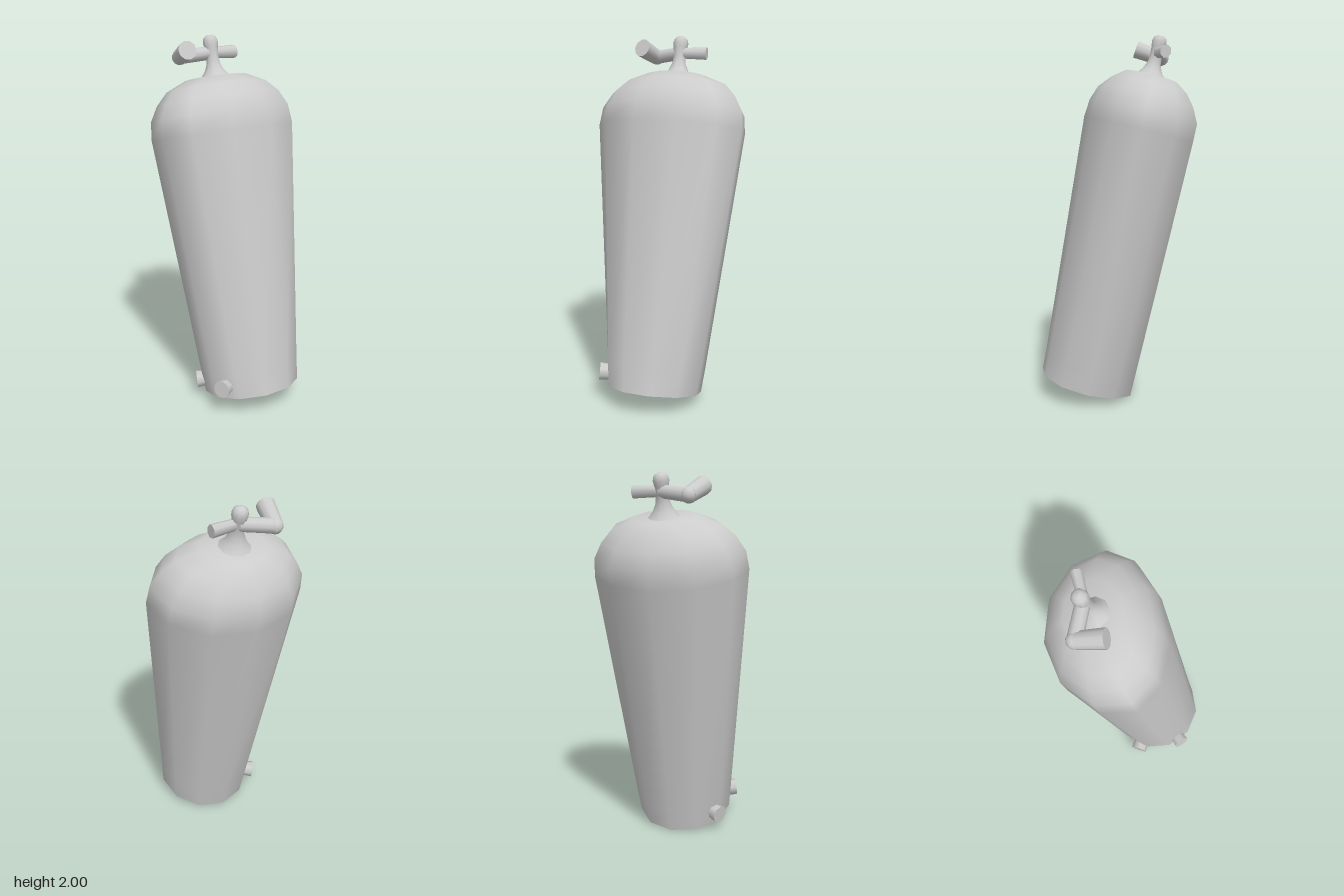
import * as THREE from 'three';

const SIDES = 11;
const material = new THREE.MeshStandardMaterial({ color: 0xcccccc });

function add(parent, name, geometry) {
  const mesh = new THREE.Mesh(geometry, material);
  mesh.name = name;
  parent.add(mesh);
  return mesh;
}

// Round rod between two points, r0 at the start and r1 at the end
function rod(parent, name, from, to, r0, r1, sides = 10) {
  const a = new THREE.Vector3(...from), b = new THREE.Vector3(...to);
  const dir = b.clone().sub(a);
  const mesh = add(parent, name, new THREE.CylinderGeometry(r1, r0, dir.length(), sides));
  mesh.position.copy(a).add(b).multiplyScalar(0.5);
  mesh.quaternion.setFromUnitVectors(new THREE.Vector3(0, 1, 0), dir.normalize());
  return mesh;
}

// Tank skin: rings of [height, centre z, front radius, back radius, side radius]
function tankGeometry() {
  const rings = [
    [0, 0.005, 0.268, 0.268, 0.265],
    [0.12, 0.01, 0.269, 0.27, 0.28],
    [1.45, 0.117, 0.262, 0.352, 0.425],
    [1.55, 0.117, 0.255, 0.35, 0.412],
    [1.63, 0.11, 0.235, 0.3, 0.365],
    [1.695, 0.1, 0.19, 0.235, 0.3],
    [1.745, 0.085, 0.145, 0.155, 0.175],
  ];
  const pos = [], index = [];
  const pushRing = ([h, c, front, back, side]) => {
    for (let j = 0; j < SIDES; j++) {
      const a = ((j + 0.5) / SIDES) * Math.PI * 2;
      const k = Math.cos(a);
      pos.push(side * Math.sin(a), h, c + k * (k > 0 ? front : back));
    }
  };
  rings.forEach(pushRing);
  for (let i = 0; i < rings.length - 1; i++) {
    for (let j = 0; j < SIDES; j++) {
      const a = i * SIDES + j, b = i * SIDES + (j + 1) % SIDES;
      index.push(a, b, b + SIDES, a, b + SIDES, a + SIDES);
    }
  }
  // Top closes on the last ring, the base has its own ring for a sharp rim
  const last = (rings.length - 1) * SIDES;
  const top = pos.length / 3;
  pos.push(0, 1.75, 0.085);
  const base = top + 1;
  pushRing(rings[0]);
  const bottom = pos.length / 3;
  pos.push(0, 0, 0.005);
  for (let j = 0; j < SIDES; j++) {
    const n = (j + 1) % SIDES;
    index.push(top, last + j, last + n, bottom, base + n, base + j);
  }
  const g = new THREE.BufferGeometry();
  g.setAttribute('position', new THREE.Float32BufferAttribute(pos, 3));
  g.setIndex(index);
  g.computeVertexNormals();
  return g;
}

export function createModel() {
  const model = new THREE.Group();
  model.name = 'gasTank';

  // Everything is built upright, then leaned backwards
  const leaning = new THREE.Group();
  leaning.name = 'leaningTank';
  leaning.position.set(0, 0.065, 0.175);
  leaning.rotation.x = -0.25;
  model.add(leaning);

  add(leaning, 'tankBody', tankGeometry());

  // Valve: flared neck with a rounded top
  const valve = new THREE.Group();
  valve.name = 'valve';
  valve.position.set(0, 1.74, 0.08);
  leaning.add(valve);
  const profile = [
    [0.1, -0.01], [0.08, 0.012], [0.056, 0.04], [0.038, 0.08], [0.034, 0.12],
    [0.038, 0.17], [0.043, 0.195], [0.036, 0.22], [0.02, 0.232], [0, 0.235],
  ].map(([r, y]) => new THREE.Vector2(r, y));
  add(valve, 'valveStem', new THREE.LatheGeometry(profile, 10));

  // Valve handle on one side, bent outlet on the other
  const handle = rod(valve, 'valveHandle', [0, 0.14, 0], [0.155, 0.14, -0.012], 0.03, 0.036, 8);
  handle.scale.z = 0.85;
  const elbow = [-0.165, 0.136, -0.068];
  rod(valve, 'outletArm', [0, 0.14, -0.005], elbow, 0.036, 0.038);
  add(valve, 'outletElbow', new THREE.SphereGeometry(0.042, 10, 8)).position.set(...elbow);
  rod(valve, 'outletNozzle', elbow, [-0.198, 0.15, 0.08], 0.042, 0.05);

  // Two small plugs low on the side
  for (const [name, x, z] of [['frontPlug', -0.905, 0.43], ['backPlug', -0.85, -0.5]]) {
    const at = (r) => [x * r, 0.07, z * r + 0.005];
    rod(leaning, name, at(0.22), at(0.31), 0.04, 0.049, 8);
  }

  return model;
}
